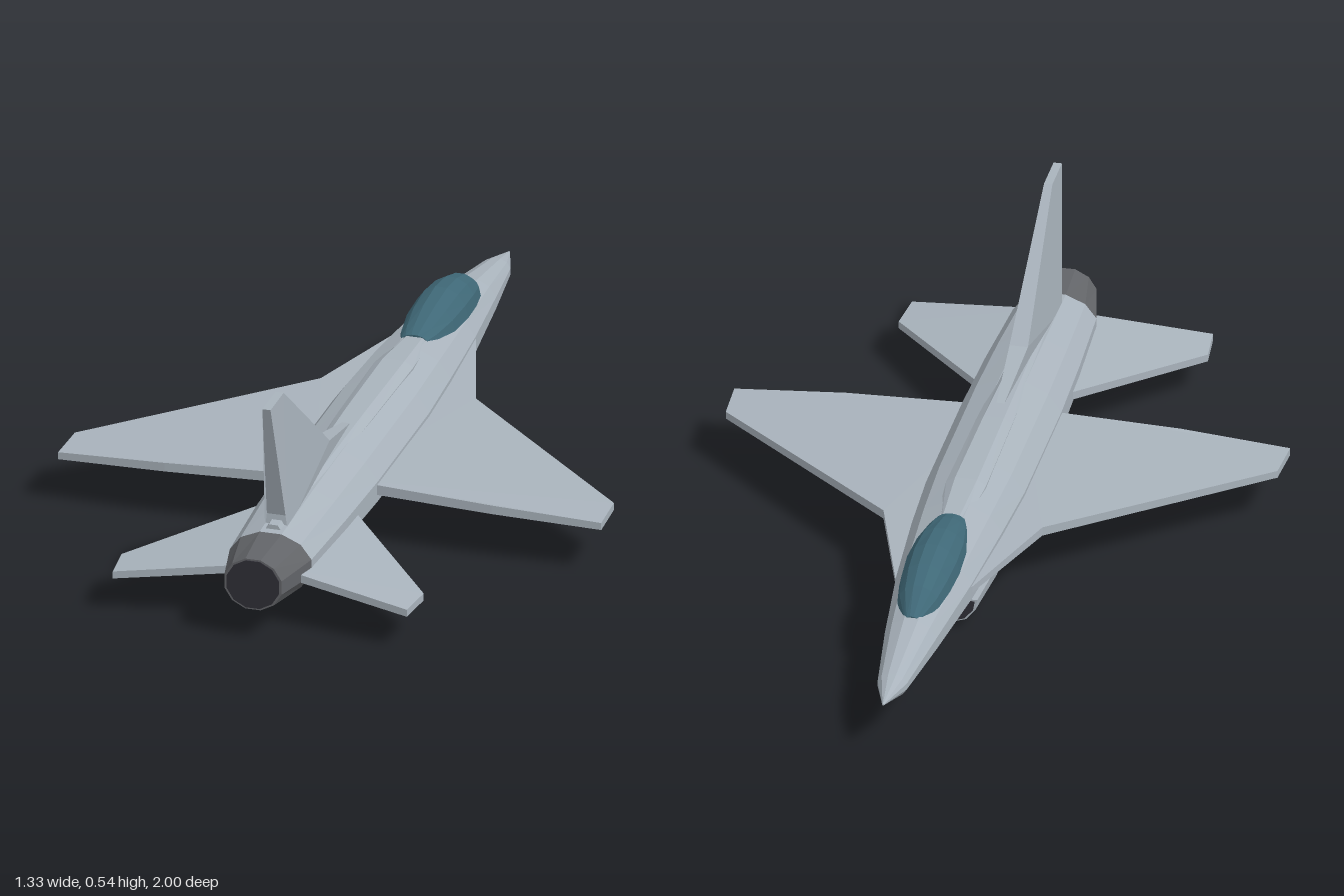
import * as THREE from 'three';

const mat = (name, color, side = THREE.FrontSide) =>
  Object.assign(new THREE.MeshStandardMaterial({ color, side, flatShading: true }), { name });

// Closed solid lofted through matching rings; faces are turned outward by signed volume.
function loft(rings) {
  const n = rings[0].length, last = (rings.length - 1) * n;
  const pts = rings.flat().map(p => new THREE.Vector3(...p));
  const tris = [];
  for (let r = 0; r < rings.length - 1; r++)
    for (let i = 0; i < n; i++) {
      const a = r * n + i, b = r * n + (i + 1) % n;
      tris.push([a, b, b + n], [a, b + n, a + n]);
    }
  for (let i = 1; i < n - 1; i++) tris.push([0, i + 1, i], [last, last + i, last + i + 1]);
  let volume = 0;
  for (const [a, b, c] of tris) volume += pts[a].dot(pts[b].clone().cross(pts[c]));
  const geo = new THREE.BufferGeometry().setFromPoints(pts);
  geo.setIndex(tris.flatMap(([a, b, c]) => (volume < 0 ? [a, c, b] : [a, b, c])));
  const flat = geo.toNonIndexed();
  flat.computeVertexNormals();
  return flat;
}

// Twelve-sided body ring from [z, halfWidth, bottom, top]
function bodyRing([z, w, bottom, top]) {
  const cy = (bottom + top) / 2, h = (top - bottom) / 2, k = 1 / Math.cos(Math.PI / 12);
  return Array.from({ length: 12 }, (_, i) => {
    const a = (i + 0.5) * Math.PI / 6;
    return [w * k * Math.cos(a), cy + h * k * Math.sin(a), z];
  });
}

// Swept surface from outline points [x, z, y, halfThickness]
const panel = (outline, side) => loft([-1, 1].map(s =>
  outline.map(([x, z, y, t]) => [x * side, y + s * t, z])));

export function createModel() {
  const model = new THREE.Group();
  model.name = 'jetAircraft';
  const paint = mat('airframe grey', 0xa9b3bc);
  const nozzleMat = mat('nozzle dark grey', 0x626468);
  const darkMat = mat('duct black', 0x302f37);
  const glass = mat('canopy teal', 0x3f6877);
  const add = (name, geo, material) => {
    const mesh = new THREE.Mesh(geo, material);
    mesh.name = name;
    model.add(mesh);
  };

  // Fuselage, running from the needle nose (-z) to the nozzle (+z)
  const seam = [0.86, 0.1, 0.064, 0.214];
  add('fuselage', loft([
    [-1, 0.002, 0.123, 0.127], [-0.9, 0.035, 0.095, 0.153], [-0.7, 0.062, 0.078, 0.188],
    [-0.45, 0.09, 0.064, 0.213], [-0.2, 0.108, 0.052, 0.228], [0, 0.118, 0.044, 0.232],
    [0.4, 0.118, 0.042, 0.231], [0.62, 0.112, 0.05, 0.226], seam].map(bodyRing)), paint);

  // Exhaust nozzle and its dark opening
  add('nozzle', loft([seam, [0.998, 0.07, 0.078, 0.206]].map(bodyRing)), nozzleMat);
  add('exhaust', loft([[0.996, 0.064, 0.082, 0.202], [1, 0.064, 0.082, 0.202]].map(bodyRing)), darkMat);

  // Dorsal spine behind the canopy
  add('spine', loft([[-0.28, 0.034, 0.228], [-0.1, 0.048, 0.241], [0.2, 0.044, 0.242],
    [0.5, 0.036, 0.237], [0.84, 0.02, 0.226]].map(([z, w, top]) => [
    [-w, 0.19, z], [-w, top - 0.014, z], [-w * 0.55, top, z],
    [w * 0.55, top, z], [w, top - 0.014, z], [w, 0.19, z]])), paint);

  // Canopy: faceted half-ellipse sections
  add('canopy', loft([[-0.69, 0.02, 0.178, 0.192], [-0.62, 0.05, 0.185, 0.236],
    [-0.55, 0.061, 0.19, 0.257], [-0.47, 0.066, 0.195, 0.266], [-0.38, 0.062, 0.2, 0.26],
    [-0.3, 0.048, 0.208, 0.245], [-0.26, 0.035, 0.215, 0.234]].map(([z, w, y, top]) =>
    Array.from({ length: 8 }, (_, i) => {
      const a = i * Math.PI / 7;
      return [w * Math.cos(a), y + (top - y) * Math.sin(a) / Math.sin(Math.PI * 3 / 7), z];
    }))), glass);

  // Chin intake with dark mouth
  const intakeRing = ([z, w, bottom, top]) => {
    const h = top - bottom;
    return [[-w, top, z], [-w * 0.95, bottom + h * 0.6, z], [-w * 0.7, bottom + h * 0.18, z],
      [-w * 0.3, bottom, z], [w * 0.3, bottom, z], [w * 0.7, bottom + h * 0.18, z],
      [w * 0.95, bottom + h * 0.6, z], [w, top, z]];
  };
  add('intake', loft([[-0.378, 0.088, 0.012, 0.077], [-0.2, 0.1, 0.001, 0.08],
    [0, 0.1, 0.004, 0.08], [0.18, 0.096, 0.018, 0.075]].map(intakeRing)), paint);
  add('intakeMouth', loft([[-0.381, 0.082, 0.016, 0.073], [-0.376, 0.082, 0.016, 0.073]]
    .map(intakeRing)), darkMat);

  // Wings with leading strakes, and drooped tailplanes
  for (const [side, label] of [[1, 'left'], [-1, 'right']]) {
    add(label + 'Wing', panel([[0.03, 0.405, 0.146, 0.013], [0.4, 0.412, 0.133, 0.011],
      [0.665, 0.4, 0.121, 0.009], [0.66, 0.285, 0.122, 0.009], [0.19, -0.135, 0.141, 0.011],
      [0.092, -0.45, 0.145, 0.008], [0.03, -0.5, 0.146, 0.008]], side), paint);
    add(label + 'Tailplane', panel([[0.02, 0.9, 0.139, 0.01], [0.36, 0.945, 0.094, 0.009],
      [0.37, 0.845, 0.094, 0.009], [0.1, 0.525, 0.129, 0.01], [0.02, 0.46, 0.139, 0.01]], side), paint);
  }

  // Vertical fin from side outline [z, y, halfThickness]
  const fin = [[0.815, 0.2, 0.028], [0.81, 0.24, 0.025], [0.893, 0.545, 0.01], [0.79, 0.545, 0.01],
    [0.47, 0.285, 0.022], [0.25, 0.236, 0.008], [0.25, 0.2, 0.008]];
  add('verticalFin', loft([-1, 1].map(s => fin.map(([z, y, t]) => [s * t, y, z]))), paint);

  return model;
}
